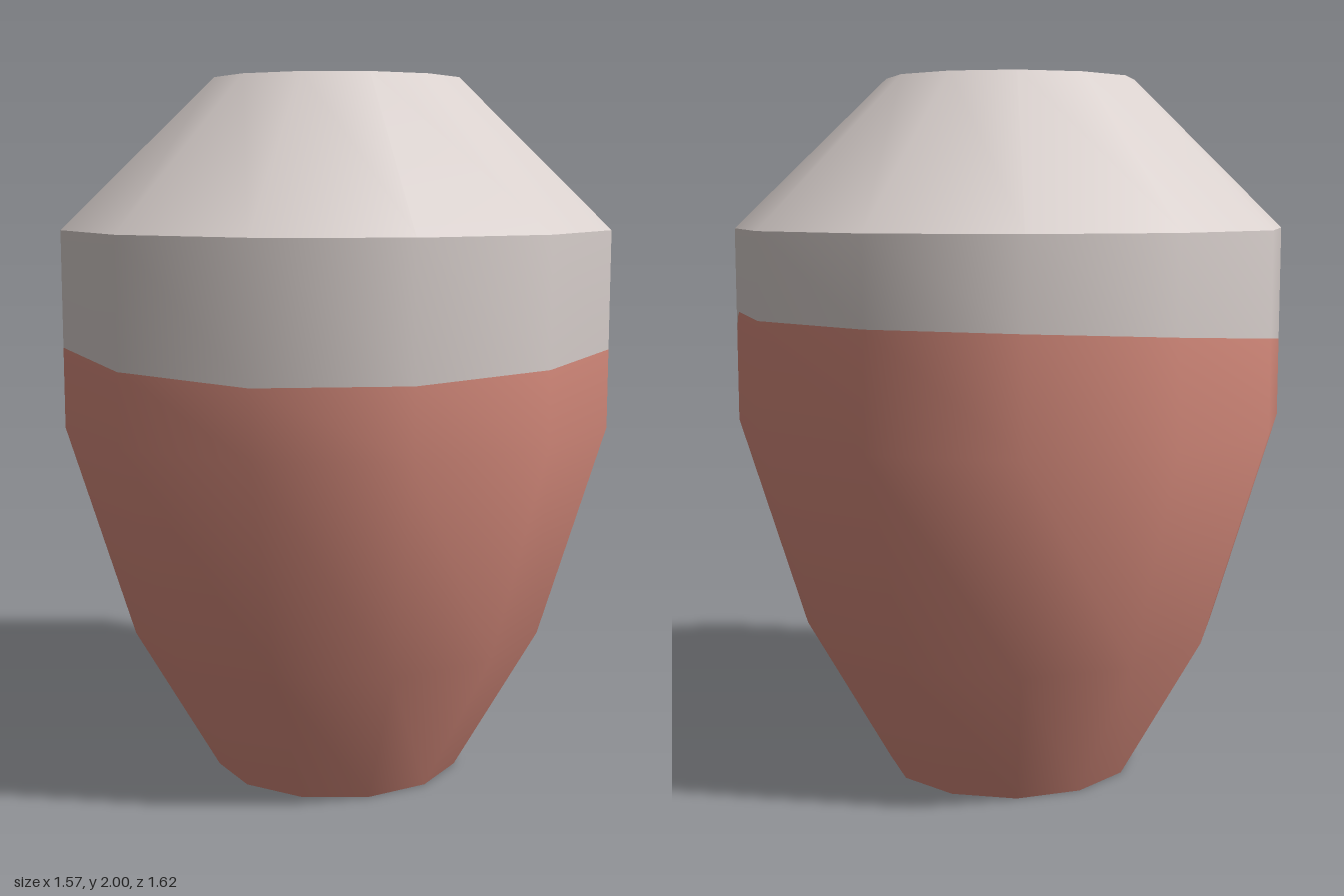
import * as THREE from 'three';

const SIDES = 12;
const SQUASH = 0.966; // slightly narrower in x than in z

// Height of the glaze edge around the pot: [side index from front towards +x, y]
const GLAZE_EDGE = [
  [0, 1.215], [1, 1.22], [2, 1.235], [3, 1.25], [3.93, 1.265], [4, 1.285], [4.06, 1.33],
  [4.12, 1.345], [5, 1.345], [6, 1.345], [7, 1.34], [8, 1.32], [9, 1.29], [10, 1.255], [11, 1.23], [12, 1.215],
];

// Direction to a point on the twelve-sided outline; fractional k lies on a flat side
function outline(k, xScale) {
  const corner = (i) => {
    const a = (i * Math.PI * 2) / SIDES;
    return new THREE.Vector3(Math.sin(a) * xScale, 0, Math.cos(a));
  };
  const i = Math.floor(k);
  return corner(i).lerp(corner(i + 1), k - i);
}

// Skin a list of rings [radius, y, outward normal, upward normal]; y may be 'edge'
function skin(rings) {
  const position = [], normal = [], index = [];
  const n = GLAZE_EDGE.length;
  for (const [r, y, out, up] of rings) {
    for (const [k, edgeY] of GLAZE_EDGE) {
      const p = outline(k, SQUASH).multiplyScalar(r);
      const d = outline(k, 1 / SQUASH).multiplyScalar(out);
      d.y = up;
      d.normalize();
      position.push(p.x, y === 'edge' ? edgeY : y, p.z);
      normal.push(d.x, d.y, d.z);
    }
  }
  for (let j = 0; j < rings.length - 1; j++) {
    for (let i = 0; i < n - 1; i++) {
      const a = j * n + i, b = a + 1, c = b + n, d = a + n;
      if (rings[j][0] > 0) index.push(a, b, d);
      if (rings[j + 1][0] > 0) index.push(b, c, d);
      // keep the centre fans closed
      if (rings[j][0] === 0) index.push(a, c, d);
    }
  }
  // drop the repeated triangles of the fan around a bottom centre
  const geometry = new THREE.BufferGeometry();
  geometry.setAttribute('position', new THREE.Float32BufferAttribute(position, 3));
  geometry.setAttribute('normal', new THREE.Float32BufferAttribute(normal, 3));
  const unique = [];
  for (let t = 0; t < index.length; t += 3) {
    const [a, b, c] = index.slice(t, t + 3);
    const fromCentre = rings[Math.floor(a / n)][0] === 0 || rings[Math.floor(b / n)][0] === 0;
    if (fromCentre && Math.floor(b / n) === Math.floor(a / n)) continue;
    if (fromCentre && b === a + 1 + n) unique.push(a, b, c);
    else if (!fromCentre) unique.push(a, b, c);
  }
  geometry.setIndex(unique);
  return geometry;
}

export function createModel() {
  const clay = new THREE.MeshStandardMaterial({ name: 'terracotta', color: 0xdb8e7f });
  const glaze = new THREE.MeshStandardMaterial({ name: 'pale glaze', color: 0xd9d0cd });
  const model = new THREE.Group();
  model.name = 'vase';

  const add = (name, material, rings) => {
    const mesh = new THREE.Mesh(skin(rings), material);
    mesh.name = name;
    model.add(mesh);
  };

  // Clay belly and foot
  add('foot', clay, [[0, 0, 0, -1], [0.372, 0, 0, -1]]);
  add('belly', clay, [
    [0.372, 0, 0.864, -0.504],
    [0.62, 0.42, 0.914, -0.405],
    [0.812, 1.03, 0.988, -0.152],
    [0.812, 'edge', 1, -0.05],
  ]);

  // Glazed band, shoulder with rim, and the shallow mouth
  add('glazedBand', glaze, [[0.812, 'edge', 1, -0.05], [0.812, 1.58, 1, 0]]);
  add('shoulder', glaze, [
    [0.812, 1.58, 0.685, 0.729],
    [0.365, 2, 0.64, 0.77],
    [0.29, 2, 0, 1],
  ]);
  add('mouthWall', glaze, [[0.29, 2, -1, 0], [0.29, 1.8, -1, 0]]);
  add('mouthFloor', glaze, [[0.29, 1.8, 0, 1], [0, 1.8, 0, 1]]);

  return model;
}
